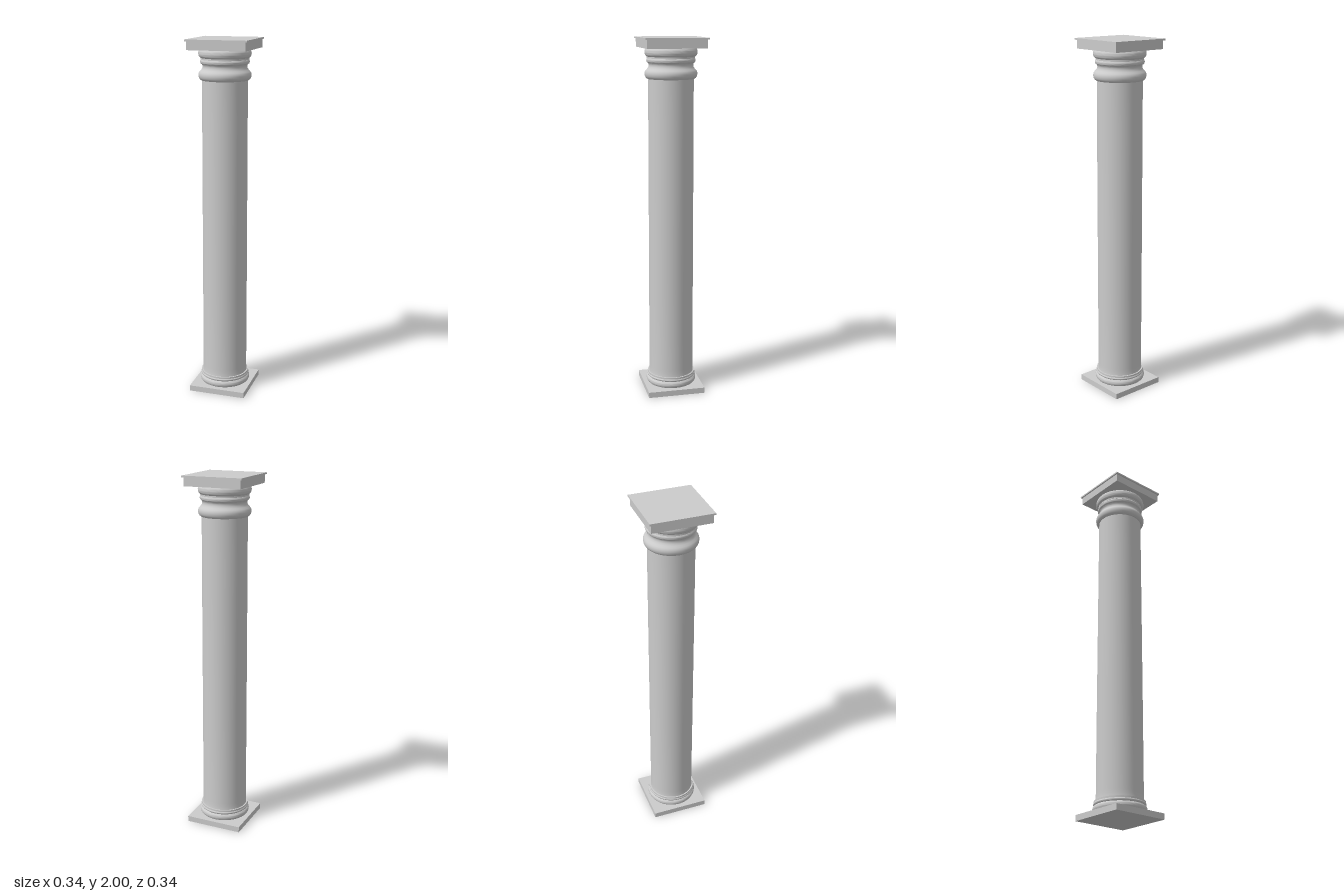
import * as THREE from 'three';
import { toCreasedNormals } from 'three/addons/utils/BufferGeometryUtils.js';

const SEGMENTS = 64;

export function createModel() {
  const column = new THREE.Group();
  column.name = 'column';
  const material = new THREE.MeshStandardMaterial({ color: 0xcccccc });

  const add = (name, geometry) => {
    const mesh = new THREE.Mesh(geometry, material);
    mesh.name = name;
    column.add(mesh);
  };

  // Square slab between two heights
  const slab = (name, half, y0, y1) => {
    const geometry = new THREE.BoxGeometry(2 * half, y1 - y0, 2 * half);
    add(name, geometry.translate(0, (y0 + y1) / 2, 0));
  };

  // Turned part from [radius, height] points, bottom to top
  const turned = (name, profile) => {
    const points = profile.map(([r, y]) => new THREE.Vector2(r, y));
    add(name, toCreasedNormals(new THREE.LatheGeometry(points, SEGMENTS), 0.6));
  };

  // Half-round moulding swelling from an inner radius to an outer one
  const bulge = (name, inner, outer, y0, y1) => {
    const profile = [[0.1, y0]];
    for (let i = 0; i <= 12; i++) {
      const a = (i / 12 - 0.5) * Math.PI;
      profile.push([inner + (outer - inner) * Math.cos(a), (y0 + y1) / 2 + (y1 - y0) / 2 * Math.sin(a)]);
    }
    profile.push([0.1, y1]);
    turned(name, profile);
  };

  // Base
  slab('plinth', 0.162, 0, 0.032);
  bulge('baseTorus', 0.128, 0.143, 0.032, 0.072);
  bulge('baseUpperRing', 0.13, 0.138, 0.07, 0.088);
  turned('baseFillet', [[0.1, 0.086], [0.135, 0.086], [0.135, 0.096], [0.1, 0.096]]);

  // Shaft with a slight flare at the foot and a gentle taper
  turned('shaft', [
    [0.128, 0.09], [0.1265, 0.1], [0.1255, 0.115], [0.125, 0.135],
    [0.125, 0.6], [0.1245, 1.1], [0.124, 1.56], [0.1235, 1.8],
  ]);

  // Capital: lower torus sweeping up into a hollow neck, then a ring and a cushion
  turned('capitalNeck', [
    [0.1, 1.781], [0.129, 1.781], [0.136, 1.787], [0.141, 1.796], [0.143, 1.808],
    [0.141, 1.819], [0.136, 1.827], [0.128, 1.835], [0.122, 1.844], [0.12, 1.854],
    [0.122, 1.862], [0.127, 1.868], [0.1, 1.868],
  ]);
  bulge('capitalRing', 0.124, 0.133, 1.866, 1.892);
  turned('capitalFillet', [[0.1, 1.89], [0.13, 1.89], [0.13, 1.9], [0.1, 1.9]]);
  bulge('capitalCushion', 0.126, 0.143, 1.898, 1.947);

  // Square top
  slab('abacus', 0.162, 1.945, 1.991);
  slab('abacusCap', 0.17, 1.991, 2);

  return column;
}
